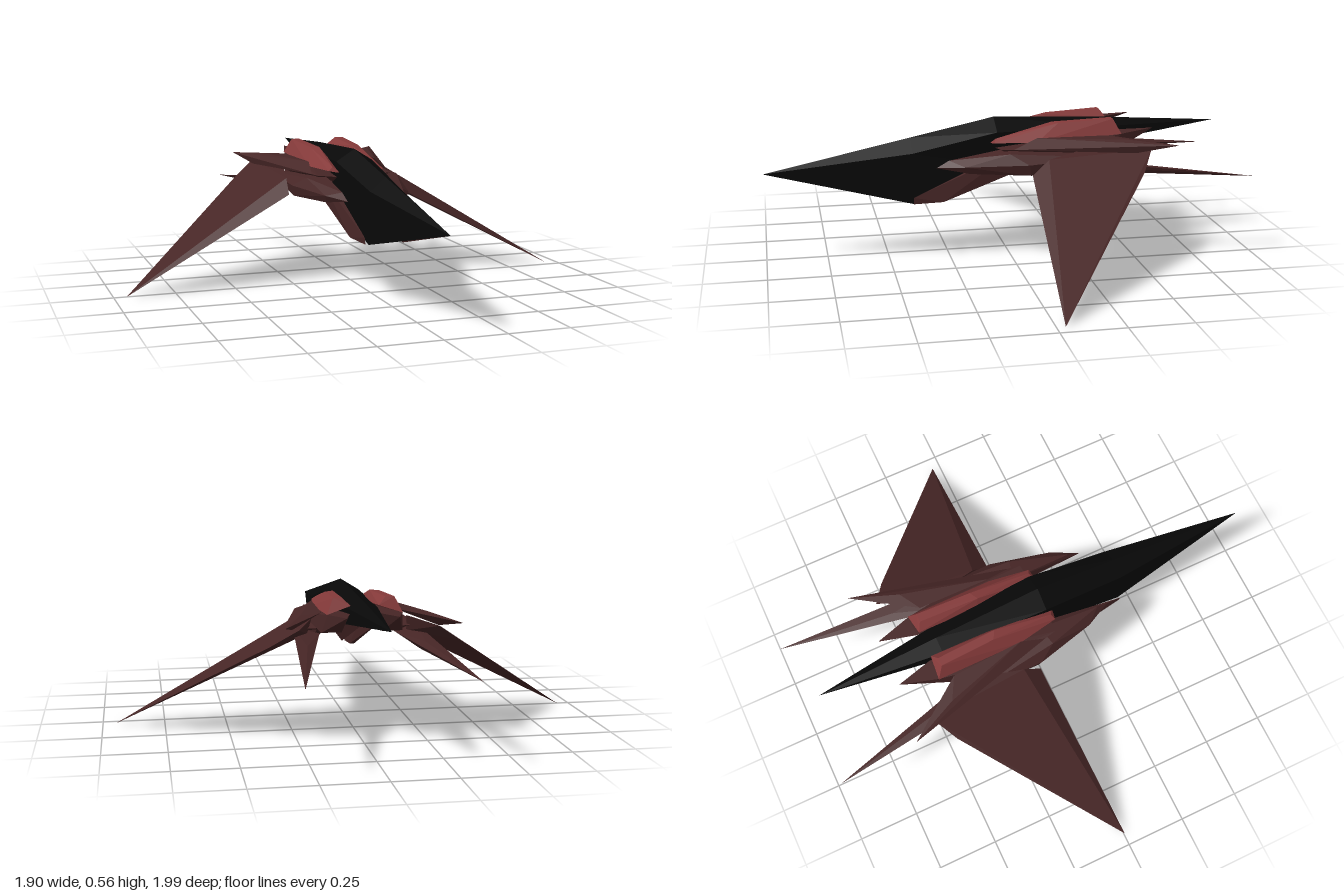
import * as THREE from 'three';
import { ConvexGeometry } from 'three/addons/geometries/ConvexGeometry.js';

const std = (name, color) => {
  const m = new THREE.MeshStandardMaterial({ color });
  m.name = name;
  return m;
};

// Skin between neighbouring rails that all run from nose to tail
function skin(rails) {
  const pos = [];
  for (let r = 0; r < rails.length - 1; r++) {
    const a = rails[r], b = rails[r + 1];
    for (let i = 0; i < a.length - 1; i++) {
      if (i > 0) pos.push(...a[i], ...b[i], ...b[i + 1]);
      if (i === 0) pos.push(...a[0], ...b[1], ...a[1]);
      else if (i < a.length - 2) pos.push(...a[i], ...b[i + 1], ...a[i + 1]);
    }
  }
  const g = new THREE.BufferGeometry();
  g.setAttribute('position', new THREE.Float32BufferAttribute(pos, 3));
  g.computeVertexNormals();
  return g;
}

export function createModel() {
  const group = new THREE.Group();
  const craft = new THREE.Group();
  craft.name = 'craft';
  craft.rotation.y = 0.02; // slight yaw
  group.add(craft);

  const black = std('black', 0x080808);
  const maroon = std('maroon', 0x472626);
  const red = std('red', 0x853a3a);

  const add = (name, geometry, material) => {
    const mesh = new THREE.Mesh(geometry, material);
    mesh.name = name;
    craft.add(mesh);
  };

  // Faceted convex part on both sides
  const pair = (name, points, material) => {
    for (const [side, s] of [['left', 1], ['right', -1]]) {
      const pts = points.map(([x, y, z]) => new THREE.Vector3(x * s, y, z));
      add(`${side} ${name}`, new ConvexGeometry(pts), material);
    }
  };

  // Fuselage: black upper hull, maroon channelled underside
  const nose = [0, 0.37, 1], tail = [0, 0.51, -0.91];
  const rail = (...mid) => [nose, ...mid, tail];
  const flip = (r) => r.map(([x, y, z]) => [-x, y, z]);
  const ridge = rail([0, 0.493, 0.4], [0, 0.565, 0.05], [0, 0.545, -0.4]);
  const shoulder = rail([0.066, 0.44, 0.4], [0.08, 0.515, 0.05], [0.06, 0.515, -0.4]);
  const chin = rail([0.072, 0.23, 0.4], [0.08, 0.37, 0], [0.06, 0.45, -0.4]);
  const channel = rail([0, 0.385, 0.4], [0, 0.42, 0], [0, 0.465, -0.4]);
  add('upper hull', skin([flip(chin), flip(shoulder), ridge, shoulder, chin]), black);
  add('hull underside', skin([chin, channel, flip(chin)]), maroon);

  // Red engine covers beside the ridge
  pair('engine cover', [
    [0.07, 0.47, 0.08], [0.12, 0.48, 0.07], [0.1, 0.495, 0.06],
    [0.055, 0.51, -0.2], [0.075, 0.55, -0.18], [0.11, 0.55, -0.2], [0.148, 0.48, -0.1],
    [0.055, 0.53, -0.45], [0.085, 0.56, -0.43], [0.12, 0.56, -0.43], [0.148, 0.5, -0.46],
  ], red);

  // Engine pods under the covers, tapering to the rear
  pair('engine pod', [
    [0.1, 0.51, -0.61], [0.145, 0.5, -0.46], [0.06, 0.5, -0.46],
    [0.06, 0.45, 0.06], [0.16, 0.46, 0.05], [0.2, 0.46, -0.15],
    [0.16, 0.42, -0.4], [0.08, 0.42, -0.4], [0.1, 0.4, -0.05],
  ], maroon);

  // Chin blades below the hull
  pair('chin blade', [
    [0.085, 0.232, 0.4], [0.088, 0.26, 0.4], [0.105, 0.24, 0.28], [0.085, 0.24, 0.28],
    [0.125, 0.44, 0], [0.09, 0.44, 0], [0.1, 0.37, -0.08], [0.12, 0.38, -0.08],
  ], maroon);

  // Forward intakes
  pair('intake', [
    [0.125, 0.39, 0.31], [0.13, 0.42, 0.26], [0.18, 0.4, 0.2], [0.17, 0.37, 0.18],
    [0.12, 0.46, 0], [0.2, 0.45, 0.02], [0.24, 0.41, -0.05], [0.23, 0.365, -0.06],
    [0.12, 0.38, -0.1], [0.24, 0.43, -0.35], [0.14, 0.43, -0.35],
  ], maroon);

  // Drooping wings
  pair('wing', [
    [0.95, 0, -0.015], [0.25, 0.37, -0.06], [0.24, 0.43, -0.13],
    [0.37, 0.39, -0.49], [0.27, 0.46, -0.55], [0.19, 0.47, -0.35], [0.2, 0.4, -0.3],
  ], maroon);

  // Upper winglets
  pair('winglet', [
    [0.335, 0.485, -0.645], [0.15, 0.5, -0.1], [0.17, 0.46, 0],
    [0.285, 0.45, -0.48], [0.25, 0.5, -0.45], [0.16, 0.5, -0.4],
  ], maroon);

  // Long rear spikes
  pair('tail spike', [
    [0.315, 0.335, -0.98], [0.27, 0.375, -0.52], [0.22, 0.355, -0.45],
    [0.15, 0.4, -0.3], [0.25, 0.42, -0.25], [0.23, 0.39, -0.5],
  ], maroon);

  return group;
}
